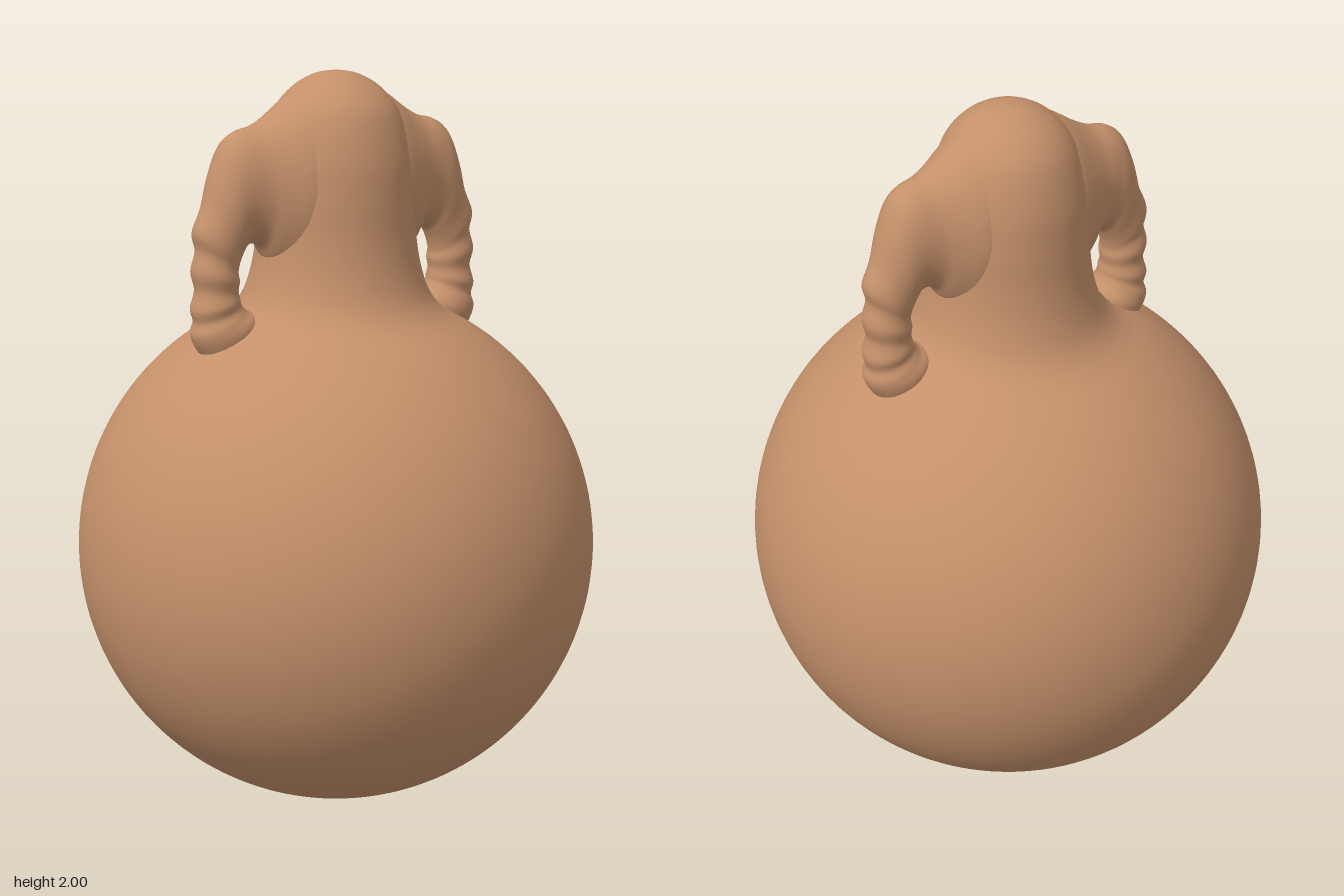
import * as THREE from 'three';

const clay = new THREE.MeshStandardMaterial({ color: 0xc4906a });
clay.name = 'clay';

// Round belly flowing into a flared neck with a closed dome
function makeVessel() {
  const R = 0.708;
  const profile = [];
  const end = Math.PI - Math.asin(0.33 / R);
  for (let i = 0; i <= 60; i++) {
    const a = (end * i) / 60;
    profile.push(new THREE.Vector2(R * Math.sin(a), R - R * Math.cos(a)));
  }
  const neck = new THREE.SplineCurve([
    [0.33, 1.334], [0.285, 1.367], [0.25, 1.415], [0.226, 1.49], [0.213, 1.58],
    [0.208, 1.68], [0.199, 1.78], [0.168, 1.89], [0.12, 1.953], [0.06, 1.989], [0, 2],
  ].map(([x, y]) => new THREE.Vector2(x, y)));
  profile.push(...neck.getPoints(60).slice(1));
  const mesh = new THREE.Mesh(new THREE.LatheGeometry(profile, 96), clay);
  mesh.name = 'vessel';
  return mesh;
}

// Handle lofted through ellipses: outer edge x, y; inner edge x, y; half depth
const SECTIONS = [
  [0.07, 1.965, 0.08, 1.45, 0.165],
  [0.14, 1.938, 0.16, 1.47, 0.147],
  [0.20, 1.897, 0.21, 1.51, 0.120],
  [0.25, 1.870, 0.235, 1.55, 0.100],
  [0.30, 1.857, 0.26, 1.563, 0.089],
  [0.34, 1.825, 0.28, 1.557, 0.084],
  [0.372, 1.75, 0.291, 1.54, 0.078],
  [0.395, 1.67, 0.297, 1.525, 0.070],
  [0.423, 1.605, 0.301, 1.51, 0.066],
  [0.416, 1.555, 0.304, 1.49, 0.060],
  [0.429, 1.50, 0.301, 1.47, 0.066],
  [0.420, 1.45, 0.304, 1.445, 0.059],
  [0.432, 1.40, 0.300, 1.425, 0.067],
  [0.425, 1.365, 0.296, 1.41, 0.064],
  [0.432, 1.33, 0.282, 1.392, 0.076],
  [0.412, 1.285, 0.25, 1.37, 0.082],
  [0.36, 1.22, 0.25, 1.30, 0.060],
];

function makeHandleGeometry() {
  const rings = 96, sides = 36;
  const outer = new THREE.CatmullRomCurve3(SECTIONS.map(s => new THREE.Vector3(s[0], s[1], s[4])), false, 'catmullrom');
  const inner = new THREE.CatmullRomCurve3(SECTIONS.map(s => new THREE.Vector3(s[2], s[3], 0)), false, 'catmullrom');
  const positions = [], index = [];
  for (let i = 0; i <= rings; i++) {
    const o = outer.getPoint(i / rings), n = inner.getPoint(i / rings);
    for (let j = 0; j < sides; j++) {
      const a = (j / sides) * Math.PI * 2;
      const k = Math.cos(a) / 2;
      positions.push(
        (o.x + n.x) / 2 + (o.x - n.x) * k,
        (o.y + n.y) / 2 + (o.y - n.y) * k,
        o.z * Math.sin(a),
      );
      if (i < rings) {
        const p = i * sides + j, q = i * sides + ((j + 1) % sides);
        index.push(p, q, p + sides, q, q + sides, p + sides);
      }
    }
  }
  const geometry = new THREE.BufferGeometry();
  geometry.setAttribute('position', new THREE.Float32BufferAttribute(positions, 3));
  geometry.setIndex(index);
  geometry.computeVertexNormals();
  return geometry;
}

export function createModel() {
  const group = new THREE.Group();
  group.name = 'jug';
  group.add(makeVessel());

  // Matching handles on both sides
  const geometry = makeHandleGeometry();
  ['leftHandle', 'rightHandle'].forEach((name, i) => {
    const handle = new THREE.Mesh(geometry, clay);
    handle.name = name;
    handle.rotation.y = i * Math.PI;
    group.add(handle);
  });
  return group;
}
